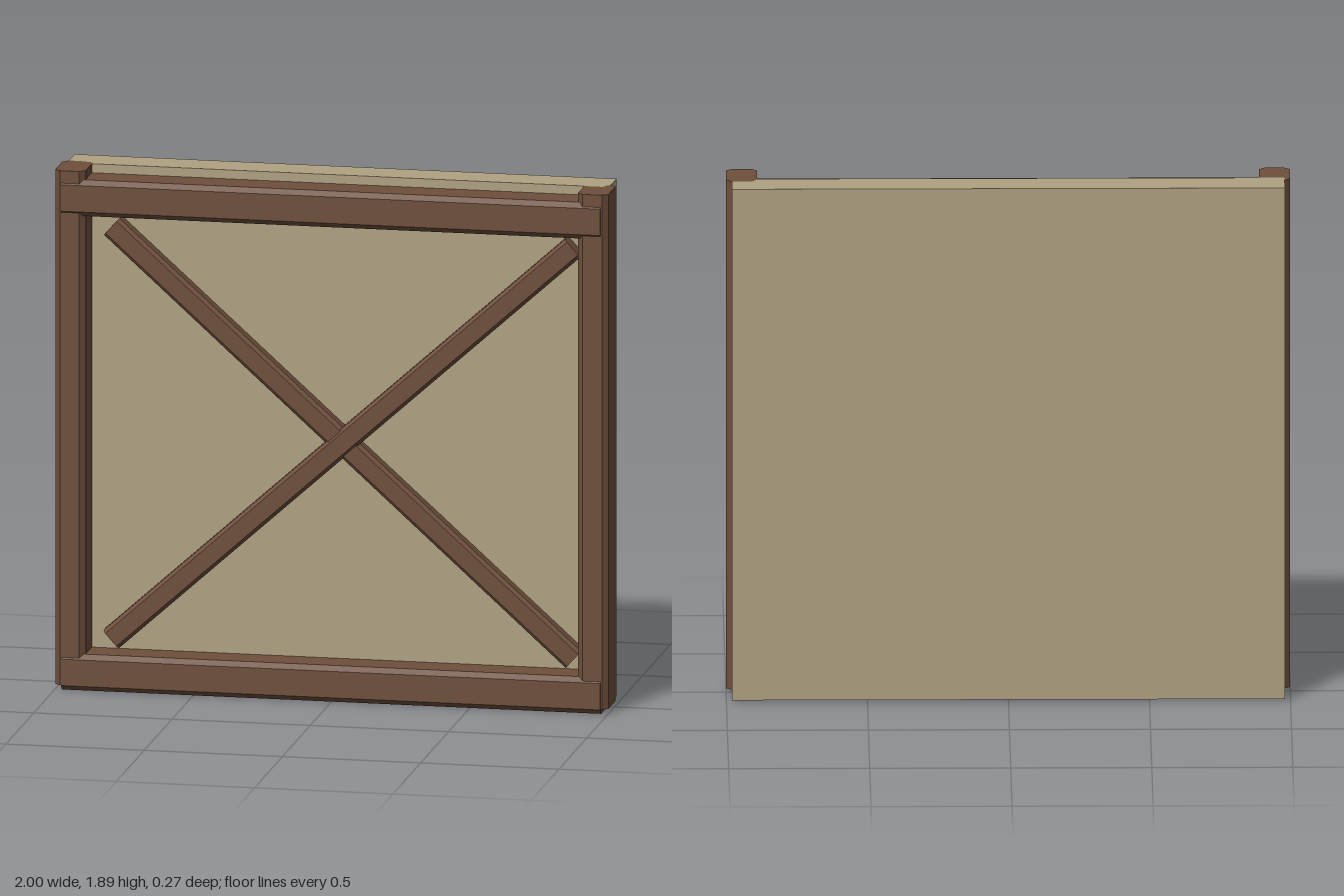
import * as THREE from 'three';

// Beam along local y, with its four long edges chamfered
function beamGeometry(width, depth, length, c) {
  const w = width / 2, d = depth / 2;
  const section = new THREE.Shape([
    [w - c, -d], [w, -d + c], [w, d - c], [w - c, d],
    [-w + c, d], [-w, d - c], [-w, -d + c], [-w + c, -d],
  ].map(([x, y]) => new THREE.Vector2(x, y)));
  const geometry = new THREE.ExtrudeGeometry(section, { depth: length, bevelEnabled: false });
  geometry.translate(0, 0, -length / 2);
  geometry.rotateX(-Math.PI / 2);
  return geometry;
}

export function createModel() {
  const model = new THREE.Group();
  const wood = new THREE.MeshStandardMaterial({ color: 0x6e4f3c });
  wood.name = 'brown wood';
  const plaster = new THREE.MeshStandardMaterial({ color: 0xb0a282 });
  plaster.name = 'beige plaster';

  const add = (name, geometry, material, x, y, z, angle = 0) => {
    const mesh = new THREE.Mesh(geometry, material);
    mesh.name = name;
    mesh.position.set(x, y, z);
    mesh.rotation.z = angle;
    model.add(mesh);
  };

  // Wall slab behind the timber
  add('wallPanel', new THREE.BoxGeometry(1.96, 1.882, 0.135), plaster, 0, 0.949, -0.0675);

  // Upright posts
  const post = beamGeometry(0.11, 0.163, 1.872, 0.02);
  add('leftPost', post, wood, 0.945, 0.954, 0.0485);
  add('rightPost', post, wood, -0.945, 0.954, 0.0485);

  // Horizontal rails, just proud of the posts
  const rail = beamGeometry(0.132, 0.15, 1.95, 0.018);
  add('bottomRail', rail, wood, 0, 0.066, 0.06, Math.PI / 2);
  add('topRail', rail, wood, 0, 1.792, 0.06, Math.PI / 2);

  // Crossed diagonal braces, sunk into the wall
  const dx = 1.67, dy = 1.5;
  const brace = beamGeometry(0.084, 0.08, Math.hypot(dx, dy), 0.012);
  const lean = Math.atan2(dx, dy);
  add('fallingBrace', brace, wood, 0.025, 0.925, 0.015, lean);
  add('risingBrace', brace, wood, 0.025, 0.925, 0.022, -lean);

  return model;
}
